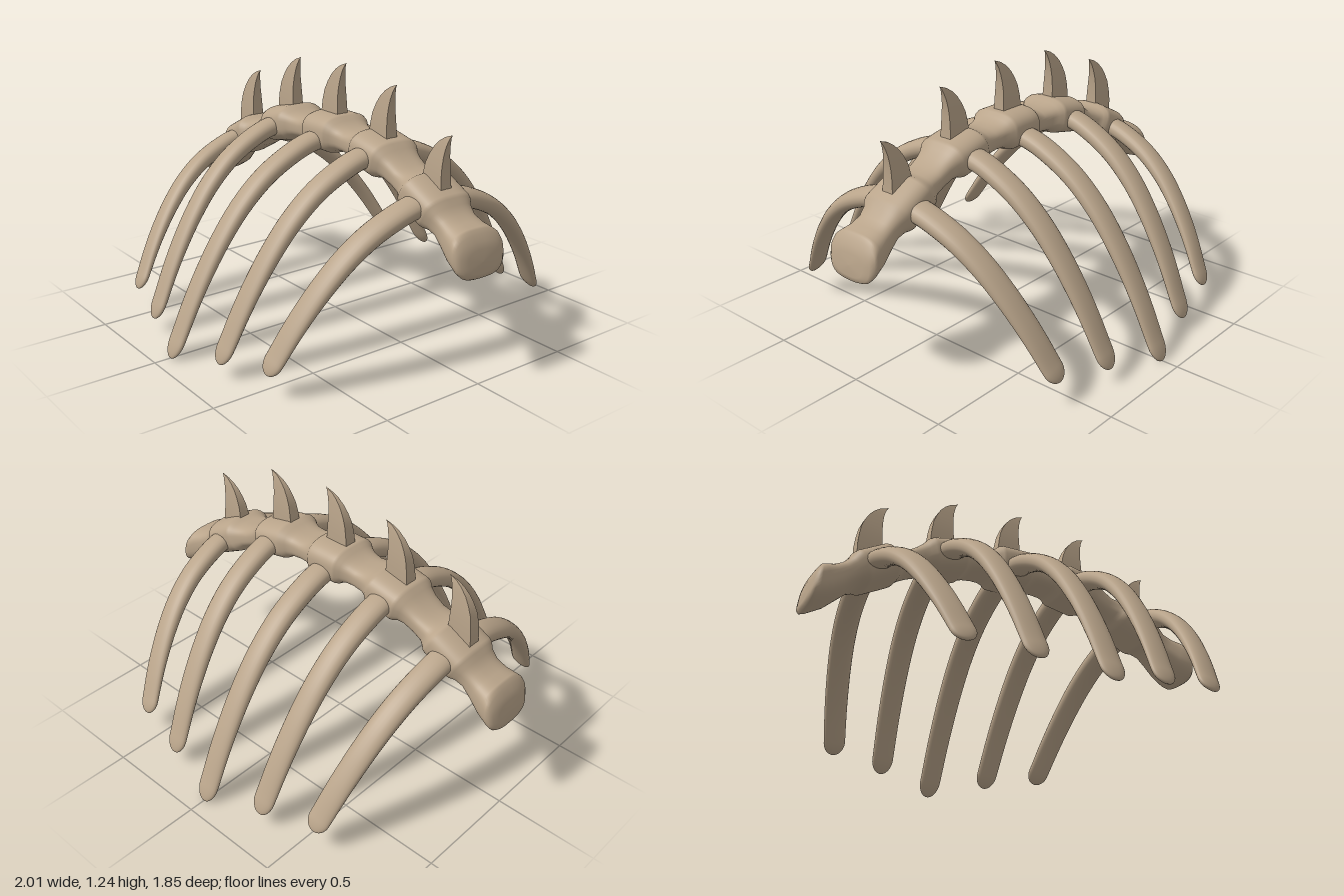
import * as THREE from 'three';
import { toCreasedNormals } from 'three/addons/utils/BufferGeometryUtils.js';

const bone = new THREE.MeshStandardMaterial({ color: 0xb9a48a });
const V = (x, y, z) => new THREE.Vector3(x, y, z);
const rad = THREE.MathUtils.degToRad;

// Skin a list of closed rings (arrays of Vector3 with equal length)
function loft(rings) {
  const n = rings[0].length, pos = [], idx = [];
  rings.forEach(r => r.forEach(p => pos.push(p.x, p.y, p.z)));
  for (let i = 0; i < rings.length - 1; i++) {
    for (let j = 0; j < n; j++) {
      const a = i * n + j, b = i * n + (j + 1) % n;
      idx.push(a, b, a + n, b, b + n, a + n);
    }
  }
  const g = new THREE.BufferGeometry();
  g.setAttribute('position', new THREE.Float32BufferAttribute(pos, 3));
  g.setIndex(idx);
  g.computeVertexNormals();
  return g;
}

// Superellipse ring around c, spanned by u and v with half sizes a and b
function ring(c, u, v, a, b, power = 2, n = 32) {
  return Array.from({ length: n }, (_, j) => {
    const t = (j / n) * Math.PI * 2, e = 2 / power;
    const f = w => Math.sign(w) * Math.abs(w) ** e;
    return c.clone().addScaledVector(u, a * f(Math.cos(t))).addScaledVector(v, b * f(Math.sin(t)));
  });
}

function mesh(name, geometry) {
  const m = new THREE.Mesh(geometry, bone);
  m.name = name;
  return m;
}

// Spine: half of the stations as [x, y, tilt, half height, half depth]
function spine() {
  const half = [
    [0.03, 0.91, 0, 0.09, 0.135], [0.07, 0.91, -1, 0.09, 0.135],
    [0.083, 0.909, -2, 0.086, 0.131], [0.1, 0.906, -4, 0.072, 0.117],
    [0.13, 0.901, -6, 0.06, 0.105], [0.17, 0.896, -6, 0.055, 0.1],
    [0.22, 0.895, -6, 0.06, 0.103], [0.25, 0.897, -9, 0.07, 0.115],
    [0.27, 0.897, -11, 0.083, 0.131], [0.285, 0.896, -12, 0.087, 0.135],
    [0.415, 0.868, -13, 0.087, 0.135], [0.43, 0.864, -14, 0.082, 0.131],
    [0.45, 0.855, -18, 0.068, 0.115], [0.48, 0.84, -23, 0.058, 0.104],
    [0.53, 0.815, -25, 0.053, 0.1], [0.58, 0.797, -26, 0.06, 0.104],
    [0.605, 0.79, -27, 0.072, 0.118], [0.62, 0.787, -27, 0.083, 0.131],
    [0.635, 0.782, -27, 0.086, 0.135], [0.755, 0.72, -28, 0.086, 0.135],
    [0.77, 0.711, -29, 0.082, 0.13], [0.79, 0.696, -31, 0.068, 0.115],
    [0.825, 0.672, -32, 0.06, 0.106], [0.87, 0.642, -28, 0.068, 0.113],
    [0.92, 0.612, -17, 0.084, 0.127], [0.96, 0.59, 4, 0.096, 0.139],
    [0.978, 0.578, 8, 0.092, 0.137], [0.992, 0.567, 8, 0.075, 0.117],
    [0.998, 0.562, 8, 0.05, 0.08], [1, 0.56, 8, 0, 0],
  ];
  const left = half.map(([x, y, a, h, d]) => [-x, y, -a, h, d]).reverse();
  return mesh('spine', loft([...left, ...half].map(([x, y, a, h, d]) => {
    const s = Math.sin(rad(a)), c = Math.cos(rad(a));
    return ring(V(x, y, 0), V(0, 0, 1), V(s, -c, 0), d, h, 2.8, 48);
  })));
}

// Rib pair: one arch across the spine, thinning to rounded tips
function ribPair(x, y, drop, reach, tilt) {
  const side = [[0.16, 0.015], [0.29, 0.065], [0.44, 0.155], [0.58, 0.285],
    [0.7, 0.44], [0.8, 0.6], [0.875, 0.74], [0.955, 0.91], [1, 1]];
  const pts = [...side.map(([z, d]) => V(0, -d * drop, -z * reach)).reverse(),
    V(0, 0, 0), ...side.map(([z, d]) => V(0, -d * drop, z * reach))];
  const curve = new THREE.CatmullRomCurve3(pts), rings = [], N = 120;
  for (let i = 0; i <= N; i++) {
    // Cosine spacing gathers rings at the tips
    const u = (1 - Math.cos((Math.PI * i) / N)) / 2;
    const k = Math.abs(2 * u - 1), t = curve.getTangentAt(u);
    const round = Math.sqrt(Math.max(0, 1 - Math.max(0, (k - 0.94) / 0.06) ** 2));
    const width = (0.062 - 0.008 * k * k) * round;
    const thick = (0.045 - 0.027 * k ** 1.5) * round;
    rings.push(ring(curve.getPointAt(u), V(1, 0, 0), V(0, t.z, -t.y), width, thick, 2.2, 24));
  }
  const m = mesh('ribPair', loft(rings));
  m.position.set(x, y, 0);
  m.rotation.z = rad(tilt);
  return m;
}

// Spike: curved blade, sections as [y, back x, front x, half thickness]
function spike(x, tipY) {
  const sections = [[0, -0.066, 0.062, 0.031], [0.06, -0.066, 0.056, 0.03],
    [0.11, -0.06, 0.053, 0.028], [0.16, -0.05, 0.052, 0.024], [0.2, -0.033, 0.054, 0.019],
    [0.235, -0.012, 0.059, 0.014], [0.265, 0.016, 0.067, 0.009],
    [0.285, 0.045, 0.075, 0.004], [0.3, 0.085, 0.085, 0]];
  const rings = sections.map(([y, a, b, d]) =>
    [V(a, y, d), V(b, y, d), V(b, y, -d), V(a, y, -d)]);
  const m = mesh('spike', toCreasedNormals(loft(rings), rad(40)));
  m.position.set(x, tipY - 0.3, 0);
  return m;
}

export function createModel() {
  const group = new THREE.Group();
  group.name = 'ribcage';
  group.add(spine());

  group.add(ribPair(0, 0.888, 0.883, 0.922, 0));
  for (const s of [-1, 1]) {
    group.add(ribPair(s * 0.355, 0.885, 0.817, 0.847, -4.5 * s));
    group.add(ribPair(s * 0.705, 0.75, 0.652, 0.785, -12.5 * s));
  }

  const spikes = [[-0.715, 1.095], [-0.357, 1.215], [0, 1.24], [0.355, 1.2], [0.71, 1.05]];
  for (const [x, y] of spikes) group.add(spike(x, y));
  return group;
}
